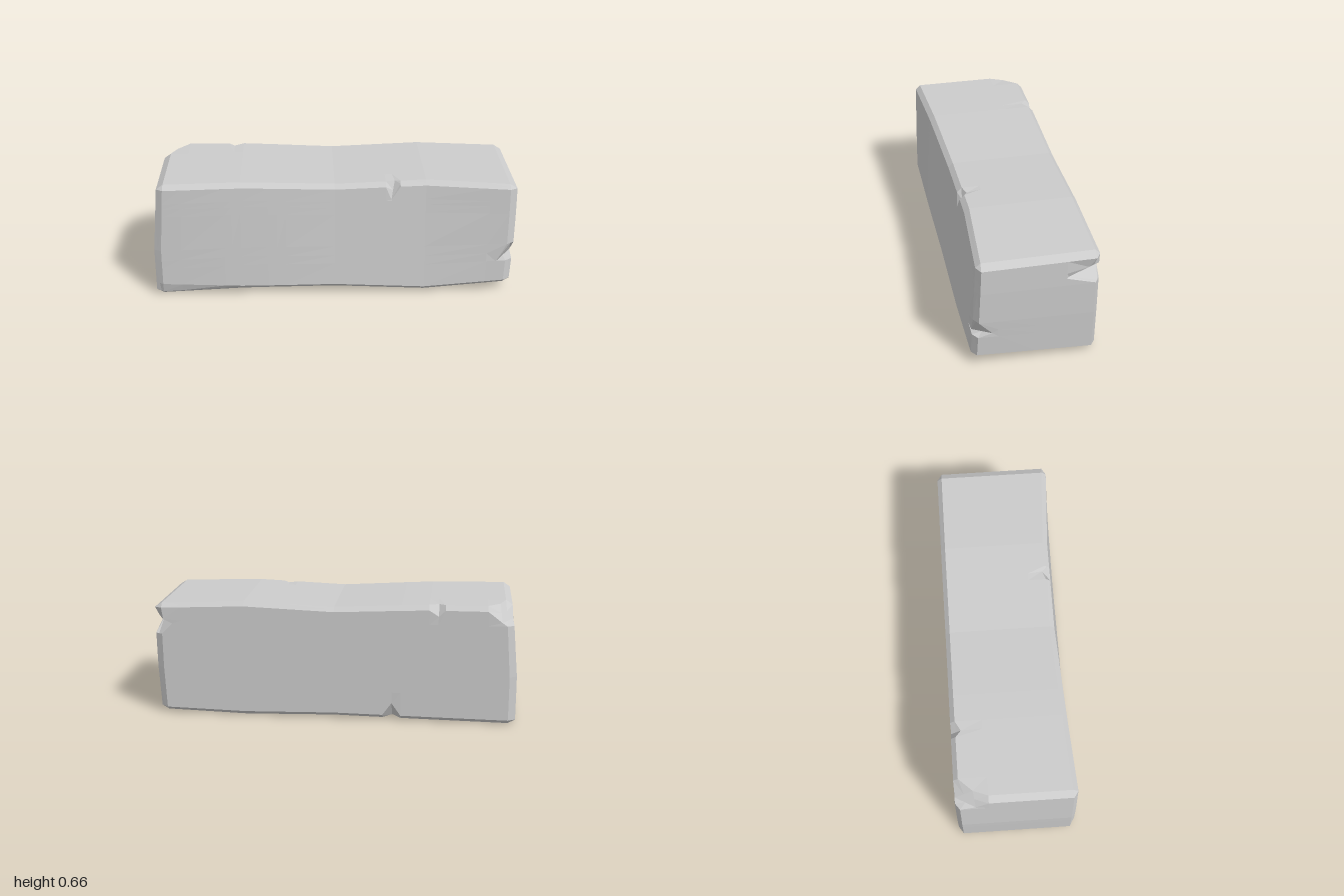
import * as THREE from 'three';

// Grid lines of the block: x in units, y from 0 to 1, z from -1 to 1
const LINES = [
  [-1, -0.96, -0.85, -0.61, -0.57, -0.52, -0.37, -0.32, -0.27, 0, 0.28, 0.32, 0.36, 0.5, 0.85, 0.96, 1],
  [0, 0.035, 0.24, 0.32, 0.41, 0.72, 0.79, 0.84, 0.96, 1],
  [-1, -0.92, -0.45, 0, 0.6, 0.92, 1],
];
const LAST = LINES.map((line) => line.length - 1);

// Wavy outlines along the block, sampled at five even x stations
const TOP = [0.662, 0.66, 0.635, 0.655, 0.632];
const BOTTOM_FRONT = [0.005, 0.03, 0.035, 0.01, 0.052];
const BOTTOM_BACK = [0, 0.005, 0.012, 0, 0.012];
const FRONT_TOP = [0.325, 0.295, 0.272, 0.272, 0.305];

// Chips: grid corner on an edge, and the tip of the chip on each face meeting there
const CHIPS = [
  // front top edge
  { at: [11, 9, 6], y: [0.33, 0.643, 0.23], z: [0.31, 0.55, 0.28] },
  // front right upright edge
  { at: [16, 3, 6], x: [0.99, 0.21, 0.225], z: [0.9, 0.18, 0.318] },
  // back right upright edge, deep bite and shallow shoulder
  { at: [16, 6, 0], x: [0.99, 0.508, -0.165], z: [0.9, 0.52, -0.33] },
  { at: [16, 7, 0], x: [0.985, 0.55, -0.27], z: [0.95, 0.545, -0.331] },
  // back top edge
  { at: [4, 9, 0], y: [-0.57, 0.658, -0.275], z: [-0.57, 0.6, -0.328] },
  // back bottom edge
  { at: [7, 0, 0], y: [-0.32, 0.006, -0.24], z: [-0.32, 0.1, -0.328] },
  // back left top corner
  { at: [0, 9, 0], x: [-0.97, 0.575, -0.22], y: [-0.9, 0.658, -0.23], z: [-0.91, 0.575, -0.328] },
];

const lerp = THREE.MathUtils.lerp;

function sample(values, x) {
  const t = (x + 1) * 2;
  const n = Math.min(3, Math.floor(t));
  return lerp(values[n], values[n + 1], t - n);
}

// A chipped grid corner lies midway between the tips of the faces it belongs to
function chipPoint(index, isEnd) {
  const chip = CHIPS.find(({ at, ...tips }) => index.every((n, a) => {
    const inward = at[a] === 0 ? 1 : at[a] - 1;
    return n === at[a] || (tips['xyz'[a]] && n === inward);
  }));
  if (!chip) return null;
  const tips = ['x', 'y', 'z'].filter((name, a) => isEnd[a]).map((name) => chip[name]);
  return [0, 1, 2].map((a) => tips.reduce((sum, tip) => sum + tip[a], 0) / tips.length);
}

// Position of a surface grid corner: flat bevel, then the wavy outline
function cornerPoint(index) {
  const isEnd = index.map((n, a) => n === 0 || n === LAST[a]);
  const chipped = chipPoint(index, isEnd);
  if (chipped) return chipped;
  const pull = [0, 0, 1 / 2, 2 / 3][isEnd.filter(Boolean).length];
  const [x, v, w] = index.map((n, a) => {
    const line = LINES[a];
    return isEnd[a] ? lerp(line[n], line[n === 0 ? 1 : n - 1], pull) : line[n];
  });
  const side = (w + 1) / 2;
  const bottom = lerp(sample(BOTTOM_BACK, x), sample(BOTTOM_FRONT, x), side);
  const front = lerp(0.331, sample(FRONT_TOP, x), v);
  // The left end leans in at the top, the right end slightly at the foot
  const lean = x < 0
    ? 0.035 * x ** 4 * Math.max(0, (v - 0.4) / 0.6)
    : -0.018 * x ** 4 * Math.max(0, 1 - v * 2);
  // The bevel under the front widens towards the left foot
  const foot = index[1] === 1 && index[2] === LAST[2] ? 0.09 * Math.max(0, -0.5 - x) : 0;
  return [x + lean, lerp(bottom, sample(TOP, x), v) + foot, lerp(-0.33, front, side)];
}

function blockGeometry() {
  const positions = [];
  for (let a = 0; a < 3; a++) {
    const b = (a + 1) % 3;
    const c = (a + 2) % 3;
    for (const end of [0, LAST[a]]) {
      for (let m = 0; m < LAST[b]; m++) {
        for (let n = 0; n < LAST[c]; n++) {
          const quad = [[0, 0], [1, 0], [1, 1], [0, 1]].map(([dm, dn]) => {
            const index = [];
            index[a] = end;
            index[b] = m + dm;
            index[c] = n + dn;
            return cornerPoint(index);
          });
          if (end === 0) quad.reverse();
          for (const q of [0, 1, 2, 0, 2, 3]) positions.push(...quad[q]);
        }
      }
    }
  }
  const geometry = new THREE.BufferGeometry();
  geometry.setAttribute('position', new THREE.Float32BufferAttribute(positions, 3));
  geometry.computeVertexNormals();
  return geometry;
}

export function createModel() {
  const group = new THREE.Group();
  group.name = 'chippedBlock';
  const material = new THREE.MeshStandardMaterial({ color: 0xcccccc, flatShading: true });
  const block = new THREE.Mesh(blockGeometry(), material);
  block.name = 'stoneBlock';
  group.add(block);
  return group;
}
